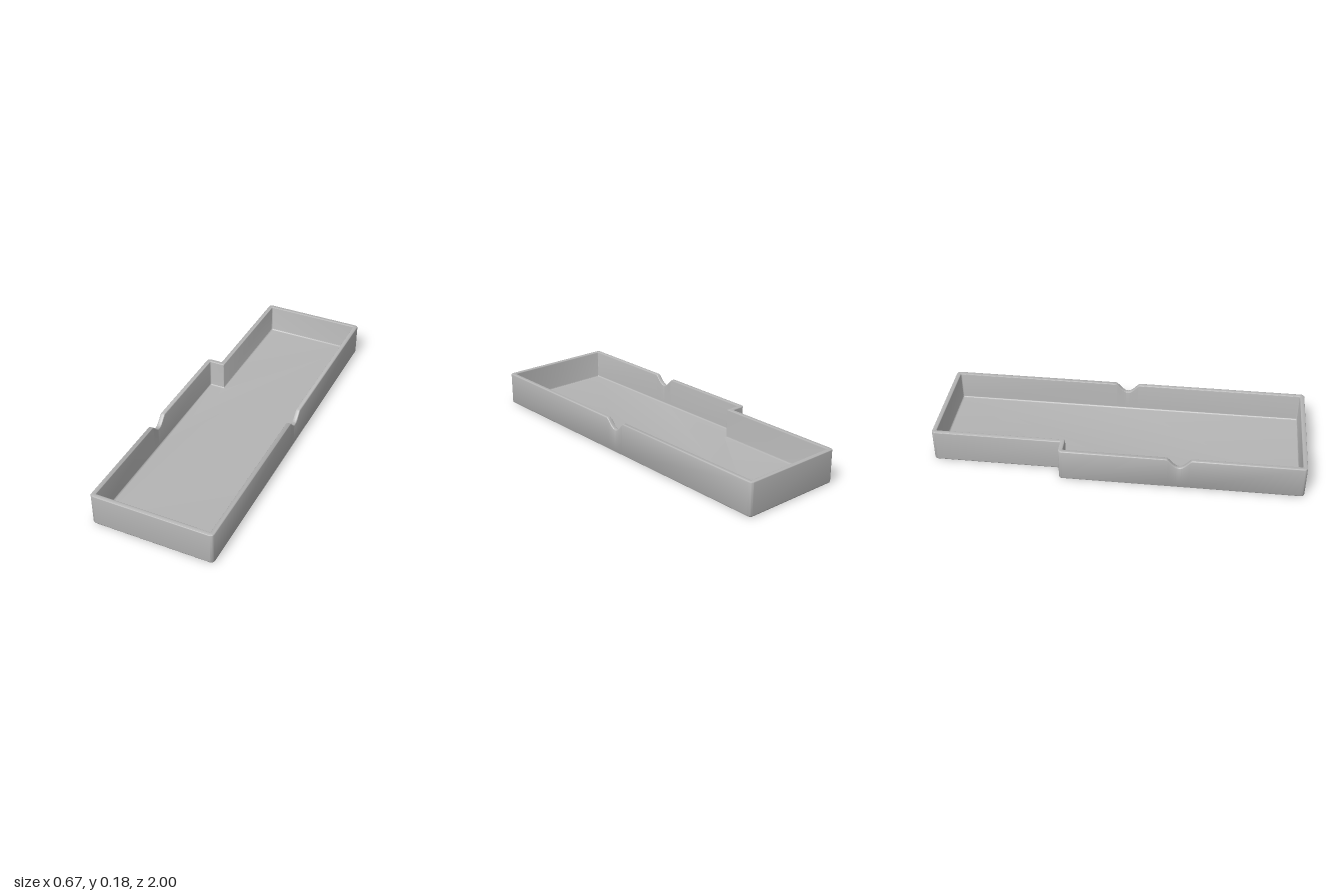
import * as THREE from 'three';
import { toCreasedNormals } from 'three/addons/utils/BufferGeometryUtils.js';

const HEIGHT = 0.183, WALL = 0.025, FLOOR = 0.02;

// Footprint corners as [x, z], with one stepped corner at the back
const CORNERS = [[-0.335, 1], [0.335, 1], [0.335, -1], [-0.25, -1], [-0.25, -0.3], [-0.335, -0.3]];
const CONCAVE = 4;
// Finger notches: the edge (by its first corner) and the z of the middle
const NOTCHES = { 1: 0, 5: 0.34 };
const NOTCH_HALF = 0.067, NOTCH_DEPTH = 0.051, NOTCH_STEPS = 28, ARC = 5;

// Footprint moved inward by d; each point also carries how far the rim dips there
function outline(d) {
  const pts = [];
  const n = CORNERS.length;
  const dir = (i) => {
    const a = CORNERS[i % n], b = CORNERS[(i + 1) % n];
    return [Math.sign(b[0] - a[0]), Math.sign(b[1] - a[1])];
  };
  for (let i = 0; i < n; i++) {
    const p = dir(i + n - 1), q = dir(i);
    const x = CORNERS[i][0] + d * (p[1] + q[1]);
    const z = CORNERS[i][1] - d * (p[0] + q[0]);
    const r = i === CONCAVE ? 0.003 : Math.max(0.02 - d, 0.006);
    for (let k = 0; k <= ARC; k++) {
      const a = (k / ARC) * Math.PI / 2;
      const s = r * (Math.sin(a) - 1), c = r * (1 - Math.cos(a));
      pts.push({ x: x + p[0] * s + q[0] * c, z: z + p[1] * s + q[1] * c, dip: 0 });
    }
    if (i in NOTCHES) {
      for (let k = 0; k <= NOTCH_STEPS; k++) {
        const t = (k / NOTCH_STEPS) * 2 - 1;
        const dip = NOTCH_DEPTH * Math.pow(Math.max(0, 0.5 + 0.5 * Math.cos(Math.PI * t)), 0.65);
        pts.push({ x, z: NOTCHES[i] + q[1] * t * NOTCH_HALF, dip });
      }
    }
  }
  return pts;
}

// Wall section from the underside, over the rim, down to the inner floor
function wallSection() {
  const section = [];
  const arc = (cx, cy, r, from, to, rim) => {
    for (let k = 0; k <= 4; k++) {
      const a = THREE.MathUtils.degToRad(from + (to - from) * k / 4);
      section.push({ inset: cx + r * Math.cos(a), y: cy + r * Math.sin(a), rim });
    }
  };
  const foot = 0.01, lip = 0.006, cove = 0.008;
  arc(foot, foot, foot, 270, 180, false);
  arc(lip, HEIGHT - lip, lip, 180, 90, true);
  arc(WALL - lip, HEIGHT - lip, lip, 90, 0, true);
  arc(WALL + cove, FLOOR + cove, cove, 180, 270, false);
  return section;
}

function trayGeometry() {
  const section = wallSection();
  const rings = section.map((s) => outline(s.inset));
  const n = rings[0].length, last = rings.length - 1;
  const pos = [], index = [];
  rings.forEach((ring, i) => ring.forEach((p) => {
    pos.push(p.x, section[i].y - (section[i].rim ? p.dip : 0), p.z);
  }));
  for (let i = 0; i < last; i++) {
    for (let j = 0; j < n; j++) {
      const k = (j + 1) % n;
      const a = i * n + j, b = i * n + k, c = a + n, e = b + n;
      index.push(a, b, e, a, e, c);
    }
  }
  // Underside and inner floor
  const cap = (i, up) => {
    const contour = rings[i].map((p) => new THREE.Vector2(p.x, -p.z));
    for (const [a, b, c] of THREE.ShapeUtils.triangulateShape(contour, [])) {
      const o = i * n;
      if (up) index.push(o + a, o + b, o + c);
      else index.push(o + a, o + c, o + b);
    }
  };
  cap(0, false);
  cap(last, true);
  const geo = new THREE.BufferGeometry();
  geo.setAttribute('position', new THREE.Float32BufferAttribute(pos, 3));
  geo.setIndex(index);
  return toCreasedNormals(geo, 0.6);
}

export function createModel() {
  const group = new THREE.Group();
  group.name = 'steppedTray';
  const grey = new THREE.MeshStandardMaterial({ color: 0xb4b4b4 });
  grey.name = 'plainGrey';
  const tray = new THREE.Mesh(trayGeometry(), grey);
  tray.name = 'tray';
  group.add(tray);
  return group;
}
